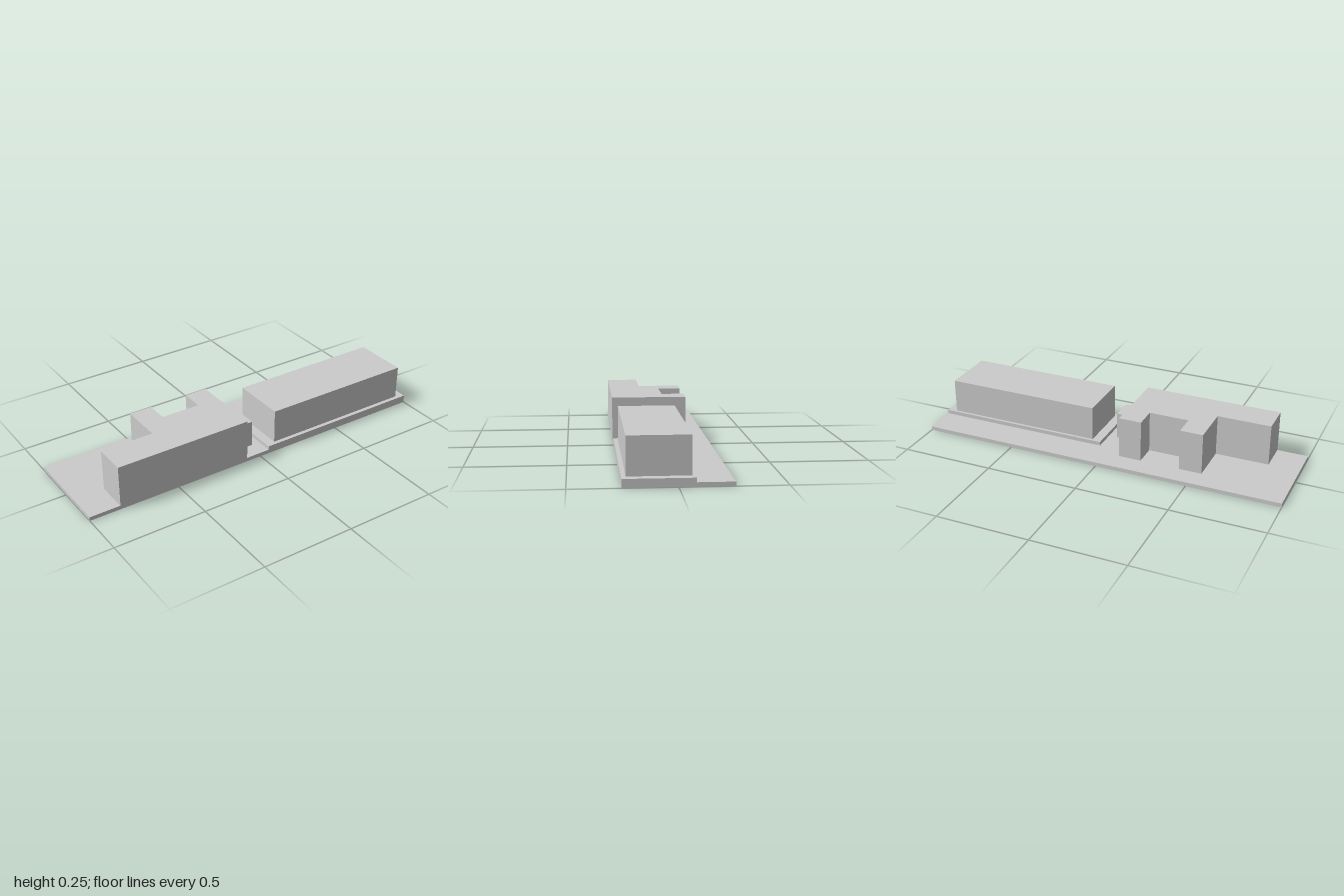
import * as THREE from 'three';

const material = new THREE.MeshStandardMaterial({ color: 0xcccccc, flatShading: true });

// Box given by its extents along each axis
function block(name, [x0, x1], [y0, y1], [z0, z1]) {
  const mesh = new THREE.Mesh(new THREE.BoxGeometry(x1 - x0, y1 - y0, z1 - z0), material);
  mesh.position.set((x0 + x1) / 2, (y0 + y1) / 2, (z0 + z1) / 2);
  mesh.name = name;
  return mesh;
}

// Vertical prism over a floor plan of [x, z] corners
function prism(name, plan, y0, y1) {
  const shape = new THREE.Shape(plan.map(([x, z]) => new THREE.Vector2(x, -z)));
  const geometry = new THREE.ExtrudeGeometry(shape, { depth: y1 - y0, bevelEnabled: false });
  geometry.rotateX(-Math.PI / 2);
  const mesh = new THREE.Mesh(geometry, material);
  mesh.position.y = y0;
  mesh.name = name;
  return mesh;
}

export function createModel() {
  const group = new THREE.Group();
  group.name = 'buildingComplex';

  // Ground slab and the raised terrace on its left half
  group.add(block('groundSlab', [-1, 1], [0, 0.021], [-0.256, 0.255]));
  group.add(block('terrace', [0.053, 1], [0.021, 0.042], [-0.08, 0.255]));

  // Plain hall on the terrace
  group.add(block('hall', [0.103, 0.952], [0.042, 0.228], [-0.065, 0.234]));

  // Stepped building with two rear wings around a court
  const plan = [
    [-0.833, 0.257], [-0.086, 0.257], [-0.086, -0.143], [-0.208, -0.143], [-0.208, -0.021],
    [-0.422, -0.021], [-0.422, -0.143], [-0.545, -0.143], [-0.545, 0.085], [-0.833, 0.085],
  ];
  group.add(prism('wingedBuilding', plan, 0.015, 0.245));

  // Small entrance block between the two buildings
  group.add(block('entranceBlock', [-0.086, 0.006], [0.021, 0.165], [0.043, 0.167]));

  return group;
}
